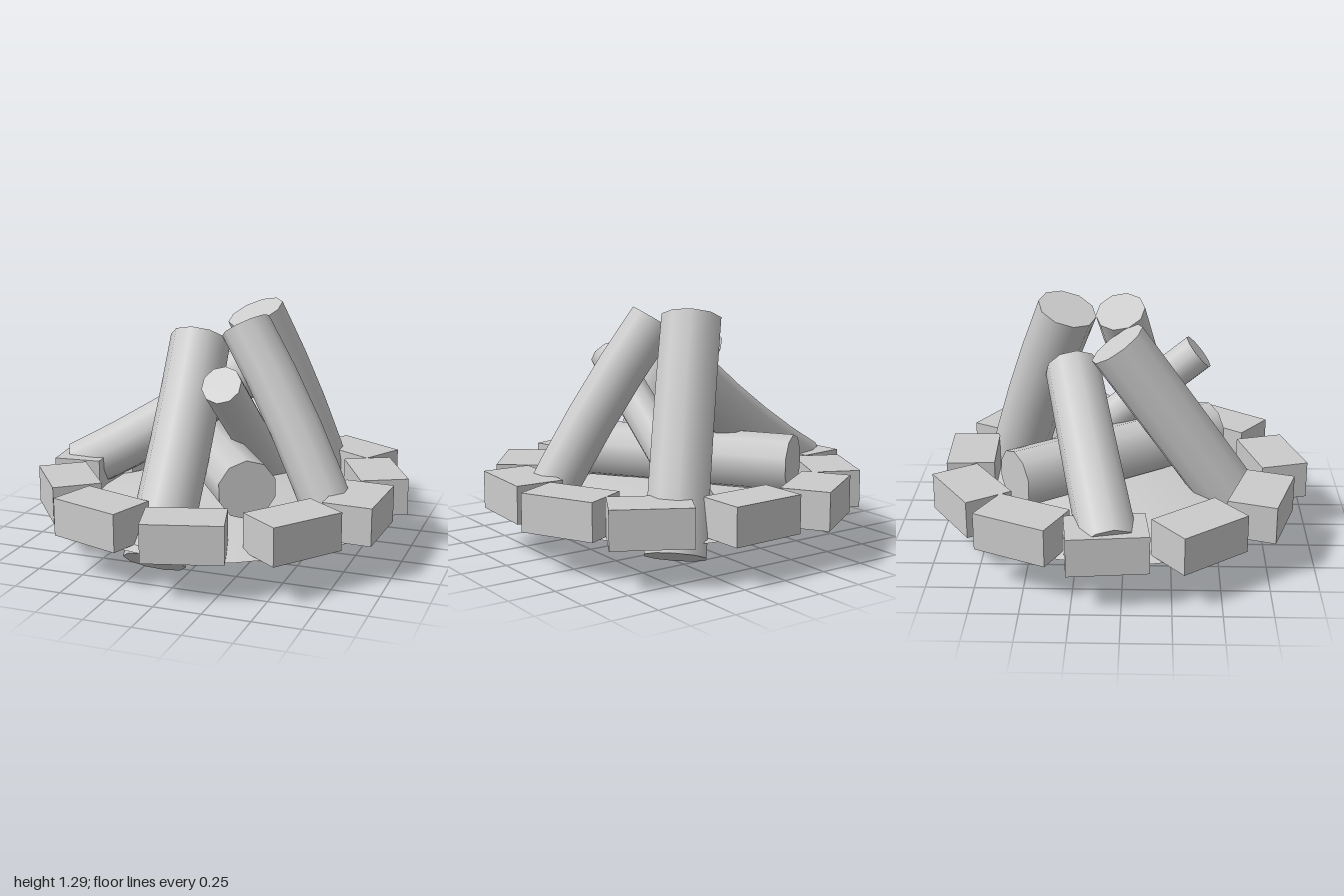
import * as THREE from 'three';

const grey = new THREE.MeshStandardMaterial({ color: 0xcccccc });
const greyThin = new THREE.MeshStandardMaterial({ color: 0xcccccc, side: THREE.DoubleSide });

// Ten-sided log from one end to the other, bowed sideways by the bend vector
function makeLog(name, from, to, radius, bend = [0, 0, 0]) {
  const a = new THREE.Vector3(...from);
  const b = new THREE.Vector3(...to);
  const axis = b.clone().sub(a);
  const length = axis.length();
  const turn = new THREE.Quaternion().setFromUnitVectors(new THREE.Vector3(0, 1, 0), axis.normalize());
  const geometry = new THREE.CylinderGeometry(radius, radius, length, 10, 4);
  geometry.applyQuaternion(turn);
  const position = geometry.attributes.position;
  const p = new THREE.Vector3();
  const bow = new THREE.Vector3(...bend);
  for (let i = 0; i < position.count; i++) {
    p.fromBufferAttribute(position, i);
    const t = p.dot(axis) / (length / 2);
    p.addScaledVector(bow, 1 - t * t);
    position.setXYZ(i, p.x, p.y, p.z);
  }
  const log = new THREE.Mesh(geometry, grey);
  log.name = name;
  log.position.copy(a).add(b).multiplyScalar(0.5);
  return log;
}

export function createModel() {
  const model = new THREE.Group();
  model.name = 'campfire';

  // Ring of stones: x, z, turn
  const stones = new THREE.Group();
  stones.name = 'stoneRing';
  const stoneGeometry = new THREE.BoxGeometry(0.41, 0.2, 0.26);
  [
    [-0.365, -0.8, 0.58], [0.09, -0.847, 0.04], [0.572, -0.672, -0.51],
    [0.78, -0.278, -1.1], [0.8, 0.178, -1.62], [0.568, 0.575, 0.925],
    [0.09, 0.81, 0.28], [-0.4, 0.718, -0.31], [-0.743, 0.388, -0.905],
    [-0.85, -0.076, -1.47], [-0.698, -0.505, 1.12],
  ].forEach(([x, z, turn]) => {
    const stone = new THREE.Mesh(stoneGeometry, grey);
    stone.name = 'stone';
    stone.position.set(x, 0.315, z);
    stone.rotation.y = turn;
    stones.add(stone);
  });
  model.add(stones);

  // Shallow mound of ash inside the ring
  const profile = [[0.86, 0.2], [0.7, 0.25], [0.45, 0.3], [0.2, 0.325], [0, 0.33]]
    .map(([r, y]) => new THREE.Vector2(r, y));
  const ash = new THREE.Mesh(new THREE.LatheGeometry(profile, 16), greyThin);
  ash.name = 'ashMound';
  model.add(ash);

  // Leaning logs and one lying flat
  const logs = new THREE.Group();
  logs.name = 'logs';
  logs.add(
    makeLog('frontLog', [-0.13, 0.1, 0.675], [-0.15, 1.115, -0.04], 0.162, [0.01, 0, 0]),
    makeLog('backLog', [0.42, 0.115, -0.665], [0.07, 1.235, -0.31], 0.16, [0.02, 0, -0.02]),
    makeLog('leftLog', [0.715, 0.14, 0.2], [0.11, 1.21, -0.03], 0.135, [0.025, 0.015, 0]),
    makeLog('rightLog', [-0.885, 0.325, -0.06], [0.04, 0.91, -0.285], 0.148, [0.01, -0.02, 0]),
    makeLog('thinLog', [0.13, 0.22, -0.53], [0.13, 0.98, 0.395], 0.105),
    makeLog('lyingLog', [-0.41, 0.46, -0.565], [0.295, 0.465, 0.465], 0.155),
  );
  model.add(logs);
  return model;
}
